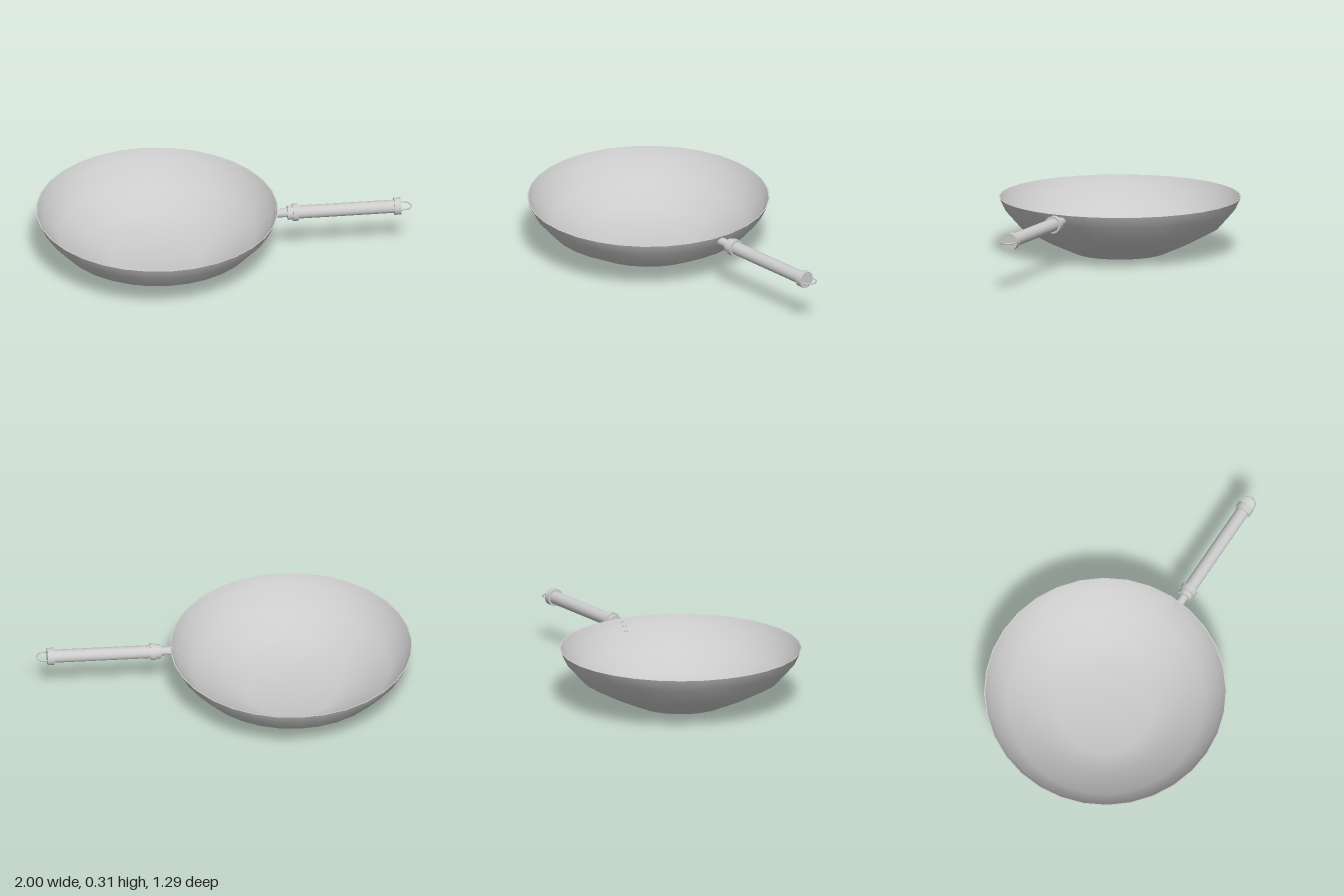
import * as THREE from 'three';

const SIDES = 32, PAN_X = -0.355, HANDLE_Y = 0.262, HANDLE_Z = 0.052;

export function createModel() {
  const model = new THREE.Group();
  const mat = new THREE.MeshStandardMaterial({ color: 0xcccccc });
  const panMat = new THREE.MeshStandardMaterial({ color: 0xcccccc, side: THREE.DoubleSide });
  const add = (name, geo, parent, material = mat) => {
    const mesh = new THREE.Mesh(geo, material);
    mesh.name = name;
    parent.add(mesh);
    return mesh;
  };

  // Bowl: outer and inner walls and a narrow rim
  const pan = new THREE.Group();
  pan.name = 'pan';
  pan.position.x = PAN_X;
  model.add(pan);
  const wall = [[0.245, 0], [0.38, 0.06], [0.53, 0.14], [0.614, 0.235], [0.644, 0.297]];
  const lathe = pts => new THREE.LatheGeometry(pts.map(p => new THREE.Vector2(...p)), SIDES);
  const inner = wall.map(([r, y], i) => [r - 0.006, i < 4 ? y + 0.006 : y]);
  add('outerWall', lathe(wall), pan, panMat);
  add('base', lathe([[0, 0], wall[0]]), pan, panMat);
  add('innerWall', lathe([[0, 0.006], ...inner].reverse()), pan, panMat);
  add('rim', lathe([wall[4], inner[4]]), pan, panMat);

  // Handle: round sections laid along x
  const handle = new THREE.Group();
  handle.name = 'handle';
  handle.position.set(0, HANDLE_Y, HANDLE_Z);
  model.add(handle);
  const sections = [
    ['stem', 0.268, 0.345, 0.023],
    ['innerCollar', 0.335, 0.365, 0.038],
    ['outerCollar', 0.362, 0.392, 0.046],
    ['grip', 0.39, 0.91, 0.035],
    ['endCap', 0.905, 0.94, 0.046],
  ];
  for (const [name, x0, x1, r] of sections) {
    const geo = new THREE.CylinderGeometry(r, r, x1 - x0, 24);
    geo.rotateZ(-Math.PI / 2).translate((x0 + x1) / 2, 0, 0);
    add(name, geo, handle);
  }

  // Hanging loop: a flat half ring with straight legs into the cap
  const loop = new THREE.CurvePath();
  const R = 0.04, X = 0.956;
  const arc = Array.from({ length: 13 }, (_, i) => {
    const a = -Math.PI / 2 + i * Math.PI / 12;
    return new THREE.Vector3(X + R * Math.cos(a), 0, R * Math.sin(a));
  });
  loop.add(new THREE.LineCurve3(new THREE.Vector3(0.93, 0, -R), arc[0]));
  loop.add(new THREE.CatmullRomCurve3(arc));
  loop.add(new THREE.LineCurve3(arc[12], new THREE.Vector3(0.93, 0, R)));
  add('hangingLoop', new THREE.TubeGeometry(loop, 32, 0.004, 8), handle);

  // Small rivet heads on the inside of the wall
  for (const [dx, y] of [[0.238, 0.238], [0.252, 0.262]]) {
    for (const dz of [-0.008, 0.008]) {
      const rivet = add('rivet', new THREE.SphereGeometry(0.004, 8, 6), model);
      rivet.position.set(dx, y, HANDLE_Z + dz);
    }
  }
  return model;
}
